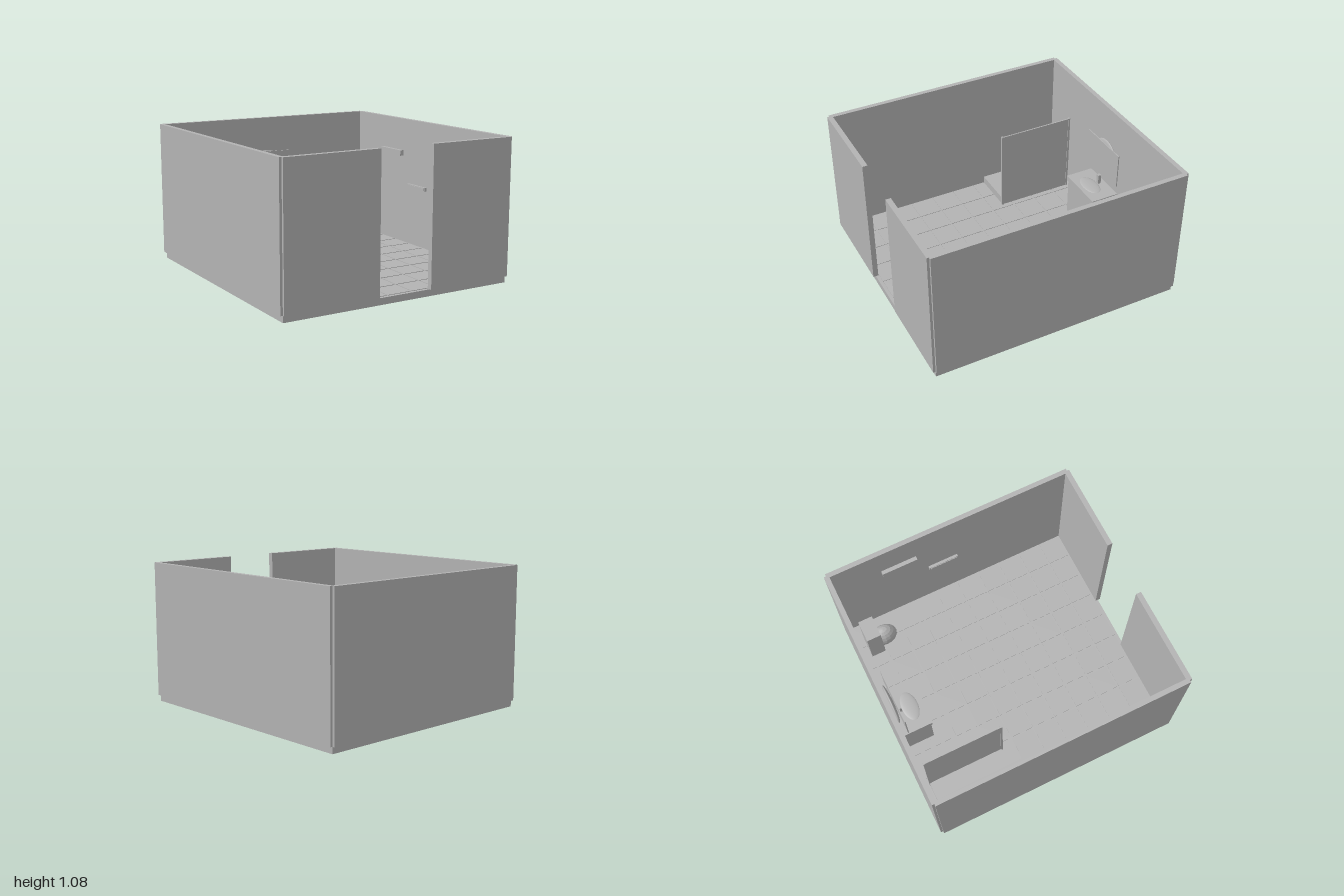
import * as THREE from 'three';

const grey = new THREE.MeshStandardMaterial({ color: 0xb3b3b3 });
grey.name = 'plain grey';

export function createModel() {
  const room = new THREE.Group();
  room.name = 'bathroom';

  const add = (parent, name, geometry) => {
    const mesh = new THREE.Mesh(geometry, grey);
    mesh.name = name;
    parent.add(mesh);
    return mesh;
  };
  // Box given by its lower and upper limits on each axis
  const box = (parent, name, [x0, x1], [y0, y1], [z0, z1]) => {
    const mesh = add(parent, name, new THREE.BoxGeometry(x1 - x0, y1 - y0, z1 - z0));
    mesh.position.set((x0 + x1) / 2, (y0 + y1) / 2, (z0 + z1) / 2);
    return mesh;
  };
  // Sphere stretched to the given radii
  const ellipsoid = (parent, name, radii, centre, w, h) => {
    let geometry = new THREE.SphereGeometry(1, w, h);
    geometry.scale(...radii);
    if (w < 20) {
      geometry = geometry.toNonIndexed();
      geometry.computeVertexNormals();
    }
    const mesh = add(parent, name, geometry);
    mesh.position.set(...centre);
    return mesh;
  };
  const group = (name) => {
    const g = new THREE.Group();
    g.name = name;
    room.add(g);
    return g;
  };

  // Floor slab with slightly raised tiles
  box(room, 'floorSlab', [-0.925, 0.925], [0, 0.05], [-0.98, 0.98]);
  const tiles = group('floorTiles');
  const nx = 9, nz = 10, gap = 0.006;
  const tw = 1.81 / nx, td = 1.92 / nz;
  for (let i = 0; i < nx; i++) {
    for (let j = 0; j < nz; j++) {
      const x = -0.905 + i * tw, z = -0.96 + j * td;
      box(tiles, 'tile', [x + gap, x + tw - gap], [0.05, 0.054], [z + gap, z + td - gap]);
    }
  }

  // Walls, with a doorway in the front
  const walls = group('walls');
  const wallY = [0.05, 1.08];
  box(walls, 'leftWall', [0.908, 0.945], wallY, [-0.982, 0.982]);
  box(walls, 'rightWall', [-0.945, -0.908], wallY, [-0.982, 0.982]);
  box(walls, 'backWall', [-0.927, 0.927], wallY, [-1, -0.963]);
  box(walls, 'frontWallRight', [-0.927, -0.19], wallY, [0.96, 1]);
  box(walls, 'frontWallLeft', [0.24, 0.927], wallY, [0.96, 1]);

  // Shower tray, screen and its two posts
  const shower = group('shower');
  box(shower, 'showerTray', [-0.9, -0.55], [0.05, 0.115], [-0.92, -0.3]);
  box(shower, 'showerScreen', [-0.56, -0.55], [0.11, 0.72], [-0.92, -0.3]);
  for (const z of [-0.915, -0.302]) {
    box(shower, 'screenPost', [-0.563, -0.545], [0.05, 0.725], [z - 0.008, z + 0.008]);
  }

  // Vanity with basin and tap
  const vanity = group('vanity');
  box(vanity, 'cabinet', [-0.21, 0.165], [0.05, 0.38], [-0.94, -0.725]);
  box(vanity, 'counter', [-0.22, 0.175], [0.38, 0.422], [-0.945, -0.717]);
  ellipsoid(vanity, 'basin', [0.12, 0.012, 0.065], [-0.025, 0.42, -0.815], 32, 16);
  box(vanity, 'tap', [-0.037, -0.01], [0.42, 0.5], [-0.905, -0.88]);

  // Mirror with a rounded backing
  box(room, 'mirror', [-0.24, 0.2], [0.52, 0.803], [-0.916, -0.908]);
  ellipsoid(room, 'mirrorBacking', [0.152, 0.152, 0.022], [-0.025, 0.66, -0.943], 32, 20);

  // Toilet
  const toilet = group('toilet');
  box(toilet, 'toiletTank', [0.608, 0.785], [0.05, 0.4], [-0.892, -0.776]);
  ellipsoid(toilet, 'toiletBowl', [0.076, 0.11, 0.11], [0.698, 0.16, -0.74], 16, 10);

  // Wall shelf and towel rail
  box(room, 'wallShelf', [0.877, 0.91], [0.775, 0.82], [-0.587, -0.3]);
  const rail = group('towelRail');
  box(rail, 'railBar', [0.887, 0.91], [0.525, 0.555], [-0.215, 0.03]);
  box(rail, 'railFront', [0.882, 0.888], [0.53, 0.55], [-0.205, 0.02]);

  return room;
}
